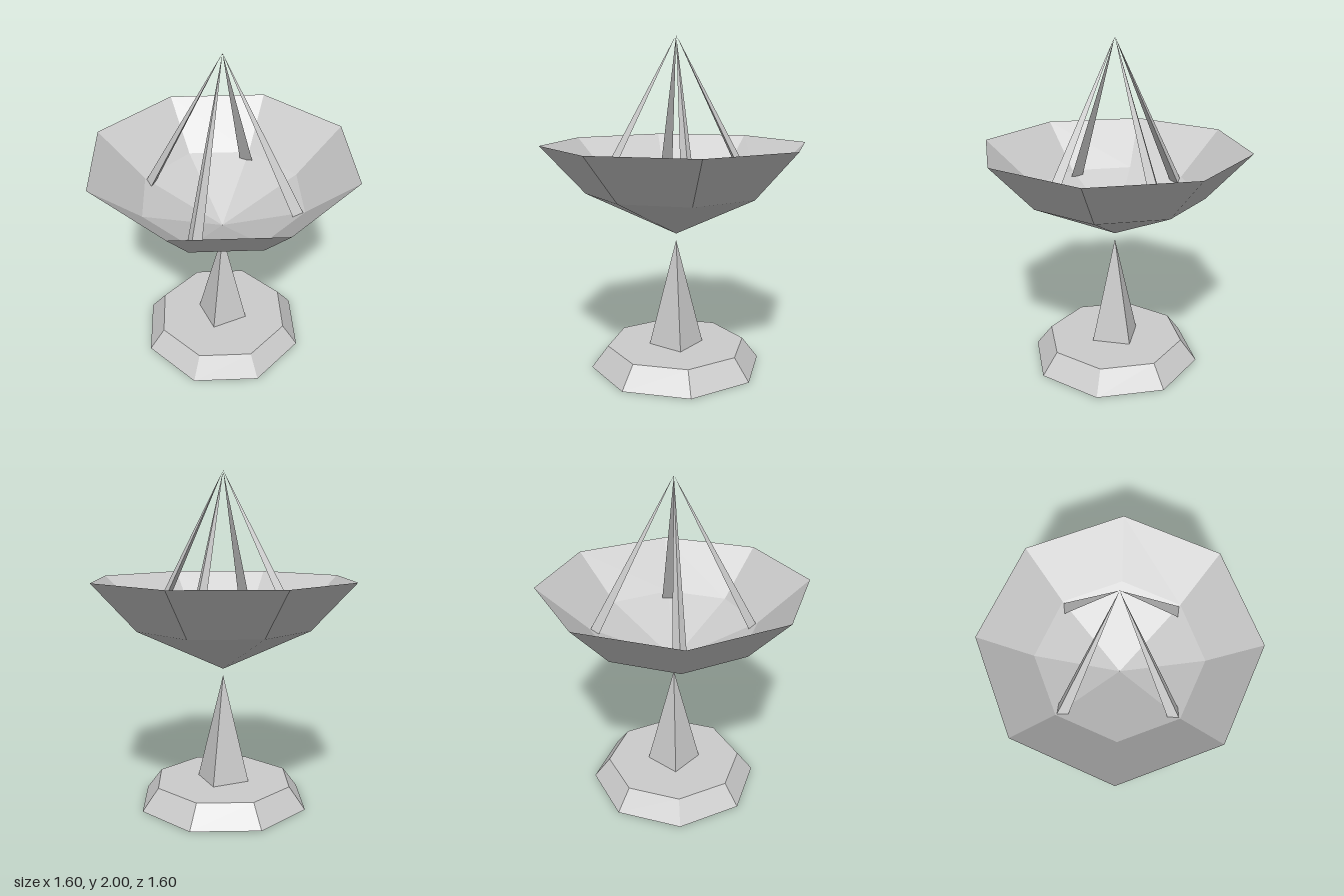
import * as THREE from 'three';

const material = new THREE.MeshStandardMaterial({ color: 0xcccccc, flatShading: true });

function addPart(group, name, geometry, y = 0) {
  const mesh = new THREE.Mesh(geometry, material);
  mesh.name = name;
  mesh.position.y = y;
  group.add(mesh);
  return mesh;
}

// Three-sided spike: ridge facing outward, flat side facing the axis
function strutGeometry() {
  const tip = [0, 2, 0];
  const ridge = [0.357, 1.075, 0.357];
  const sideX = [0.352, 1.06, 0.291];
  const sideZ = [0.291, 1.06, 0.352];
  const corners = [
    tip, ridge, sideX,
    tip, sideZ, ridge,
    tip, sideX, sideZ,
    ridge, sideZ, sideX,
  ];
  const geometry = new THREE.BufferGeometry();
  geometry.setAttribute('position', new THREE.Float32BufferAttribute(corners.flat(), 3));
  geometry.computeVertexNormals();
  return geometry;
}

export function createModel() {
  const model = new THREE.Group();
  model.name = 'dishAntenna';

  // Octagonal foot plate
  addPart(model, 'base', new THREE.CylinderGeometry(0.425, 0.525, 0.13, 8), 0.065);

  // Pyramid mast
  const mast = new THREE.ConeGeometry(0.117 * Math.SQRT2, 0.655, 4);
  mast.rotateY(Math.PI / 4);
  addPart(model, 'mast', mast, 0.13 + 0.655 / 2);

  // Faceted bowl: outer skin up to a sharp rim, then inner skin back down
  const profile = [
    [0, 0.825], [0.54, 1.085], [0.8, 1.37], [0.505, 1.1], [0, 0.87],
  ].map(([r, y]) => new THREE.Vector2(r, y));
  addPart(model, 'dish', new THREE.LatheGeometry(profile, 8));

  // Four struts meeting at the tip
  const strut = strutGeometry();
  const struts = new THREE.Group();
  struts.name = 'struts';
  for (let i = 0; i < 4; i++) {
    addPart(struts, 'strut', strut).rotation.y = (i * Math.PI) / 2;
  }
  model.add(struts);

  return model;
}
